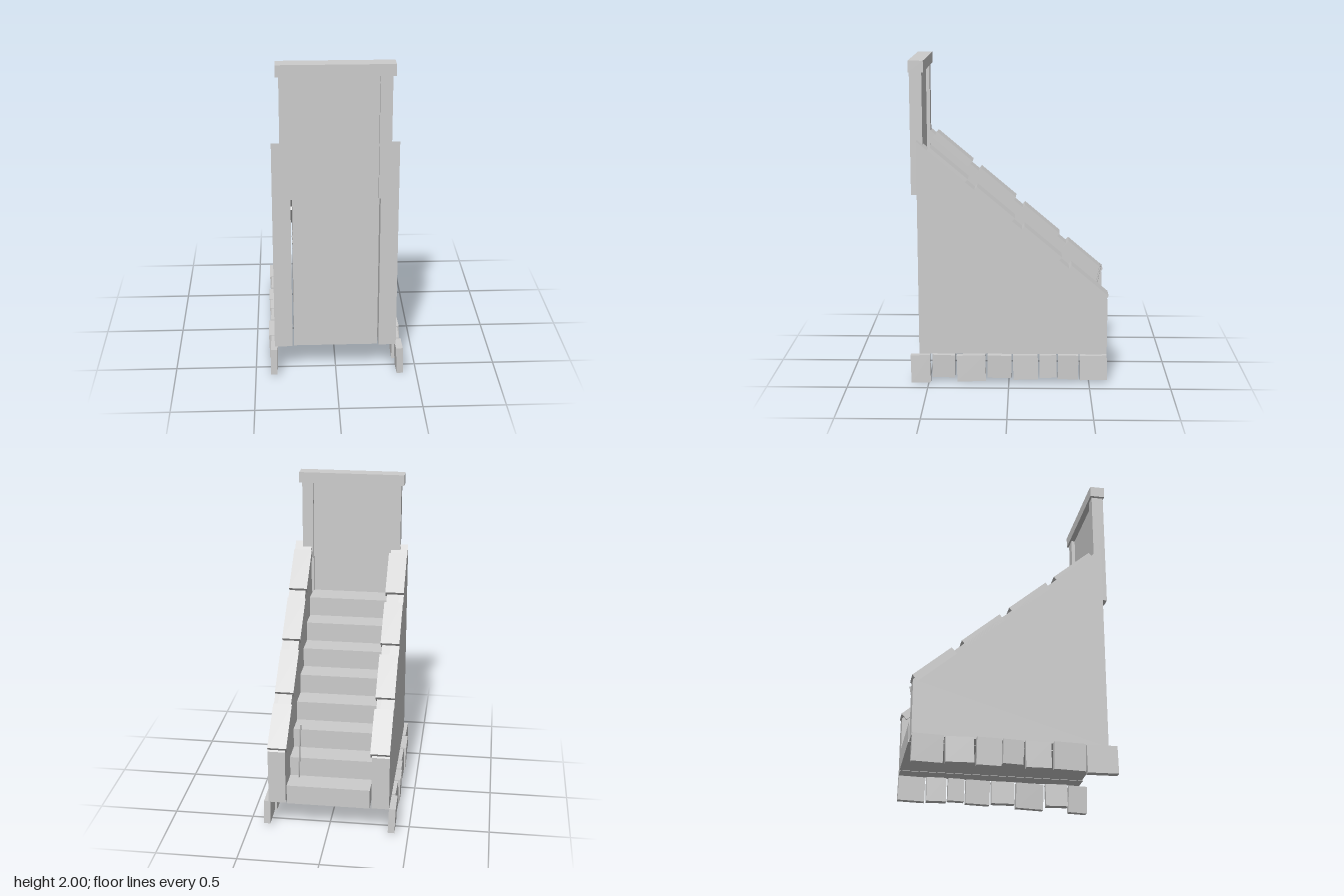
import * as THREE from 'three';

export function createModel() {
  const model = new THREE.Group();
  model.name = 'doorwayStaircase';
  const stone = new THREE.MeshStandardMaterial({ color: 0xcccccc });
  stone.name = 'pale grey stone';

  const add = (name, geometry, parent = model) => {
    const mesh = new THREE.Mesh(geometry, stone);
    mesh.name = name;
    parent.add(mesh);
    return mesh;
  };
  // Box given by its limits on each axis
  const block = (name, [x0, x1], [y0, y1], [z0, z1], parent) => {
    const mesh = add(name, new THREE.BoxGeometry(x1 - x0, y1 - y0, z1 - z0), parent);
    mesh.position.set((x0 + x1) / 2, (y0 + y1) / 2, (z0 + z1) / 2);
    return mesh;
  };
  // Side profile of [z, y] points, extruded across x
  const profile = (name, points, x0, x1) => {
    const shape = new THREE.Shape(points.map(([z, y]) => new THREE.Vector2(-z, y)));
    const geometry = new THREE.ExtrudeGeometry(shape, { depth: x1 - x0, bevelEnabled: false });
    geometry.rotateY(Math.PI / 2).translate(x0, 0, 0);
    return add(name, geometry);
  };

  const base = 0.18;
  const slope = 0.846;
  const wallTop = z => 1.52 - slope * (0.56 - z);

  // Flight of eight steps, rising from the back to the doorway
  const risers = [-0.615, -0.475, -0.33, -0.19, -0.045, 0.1, 0.245, 0.39];
  const steps = [[0.55, base], [-0.615, base]];
  risers.forEach((z, i) => {
    if (i) steps.push([z, base + 0.125 * i]);
    steps.push([z, base + 0.125 * (i + 1)]);
  });
  steps.push([0.55, 1.18]);
  profile('stairs', steps, -0.26, 0.257);

  // Sloping side walls with tilted coping slabs
  const angle = Math.atan(slope);
  const copings = [[-0.6, -0.37], [-0.31, -0.08], [-0.02, 0.21], [0.265, 0.495]];
  for (const [side, x0, x1] of [['right', -0.38, -0.27], ['left', 0.265, 0.373]]) {
    profile(side + 'Wall', [[0.56, base], [-0.61, base], [-0.61, wallTop(-0.61)], [0.56, 1.52]], x0, x1);
    const inner = side === 'right' ? 0.01 : -0.01;
    for (const [z0, z1] of copings) {
      const length = (z1 - z0) / Math.cos(angle);
      const slab = add(side + 'Coping', new THREE.BoxGeometry(x1 - x0 + 0.01, 0.05, length));
      const z = (z0 + z1) / 2;
      slab.position.set((x0 + x1 + inner) / 2, wallTop(z), z);
      slab.rotation.x = -angle;
    }
  }

  // Upper doorway: posts, lintel and recessed panel
  const door = new THREE.Group();
  door.name = 'doorway';
  model.add(door);
  block('rightPost', [-0.33, -0.255], [1.18, 1.94], [0.525, 0.6], door);
  block('leftPost', [0.25, 0.322], [1.18, 1.94], [0.525, 0.6], door);
  block('lintel', [-0.35, 0.34], [1.93, 2], [0.513, 0.605], door);
  block('doorPanel', [-0.255, 0.25], [1.18, 1.93], [0.548, 0.568], door);

  // Uneven foundation stones: [z start, z end, outward offset, bottom, lean]
  const rightStones = [
    [-0.612, -0.425, 0.42, 0.01, 0.03], [-0.415, -0.245, 0.41, 0.02, -0.03],
    [-0.235, -0.085, 0.42, 0.01, 0.02], [-0.08, 0.045, 0.412, 0.03, 0.04],
    [0.055, 0.21, 0.41, 0.015, -0.02], [0.22, 0.412, 0.42, 0.01, 0.03],
    [0.42, 0.61, 0.408, 0.005, -0.02],
  ];
  const leftStones = [
    [-0.612, -0.44, 0.41, 0.02, 0.03], [-0.435, -0.305, 0.4, 0.02, -0.02],
    [-0.298, -0.19, 0.402, 0.03, 0.02], [-0.183, -0.025, 0.41, 0.02, 0.03],
    [-0.018, 0.135, 0.41, 0.03, -0.02], [0.143, 0.325, 0.418, 0.01, 0.04],
    [0.335, 0.48, 0.402, 0.03, -0.03], [0.487, 0.612, 0.418, 0.0, 0.04],
  ];
  for (const [name, side, stones] of [['right', -1, rightStones], ['left', 1, leftStones]]) {
    for (const [z0, z1, outer, y0, lean] of stones) {
      const xs = [side * (outer - 0.045), side * (outer - 0.003)].sort((a, b) => a - b);
      const mesh = block(name + 'FoundationStone', xs, [y0 + 0.003, base], [z0 + 0.002, z1 - 0.002]);
      mesh.rotation.set(lean * 0.6, lean * 0.6, lean);
    }
  }

  // Thin leaning rod standing on the first step
  const from = new THREE.Vector3(0.198, 0.305, -0.5);
  const to = new THREE.Vector3(0.17, 0.71, -0.575);
  const along = to.clone().sub(from);
  const rod = add('leaningRod', new THREE.CylinderGeometry(0.005, 0.005, along.length(), 6));
  rod.position.copy(from).add(to).multiplyScalar(0.5);
  rod.quaternion.setFromUnitVectors(new THREE.Vector3(0, 1, 0), along.normalize());

  return model;
}
